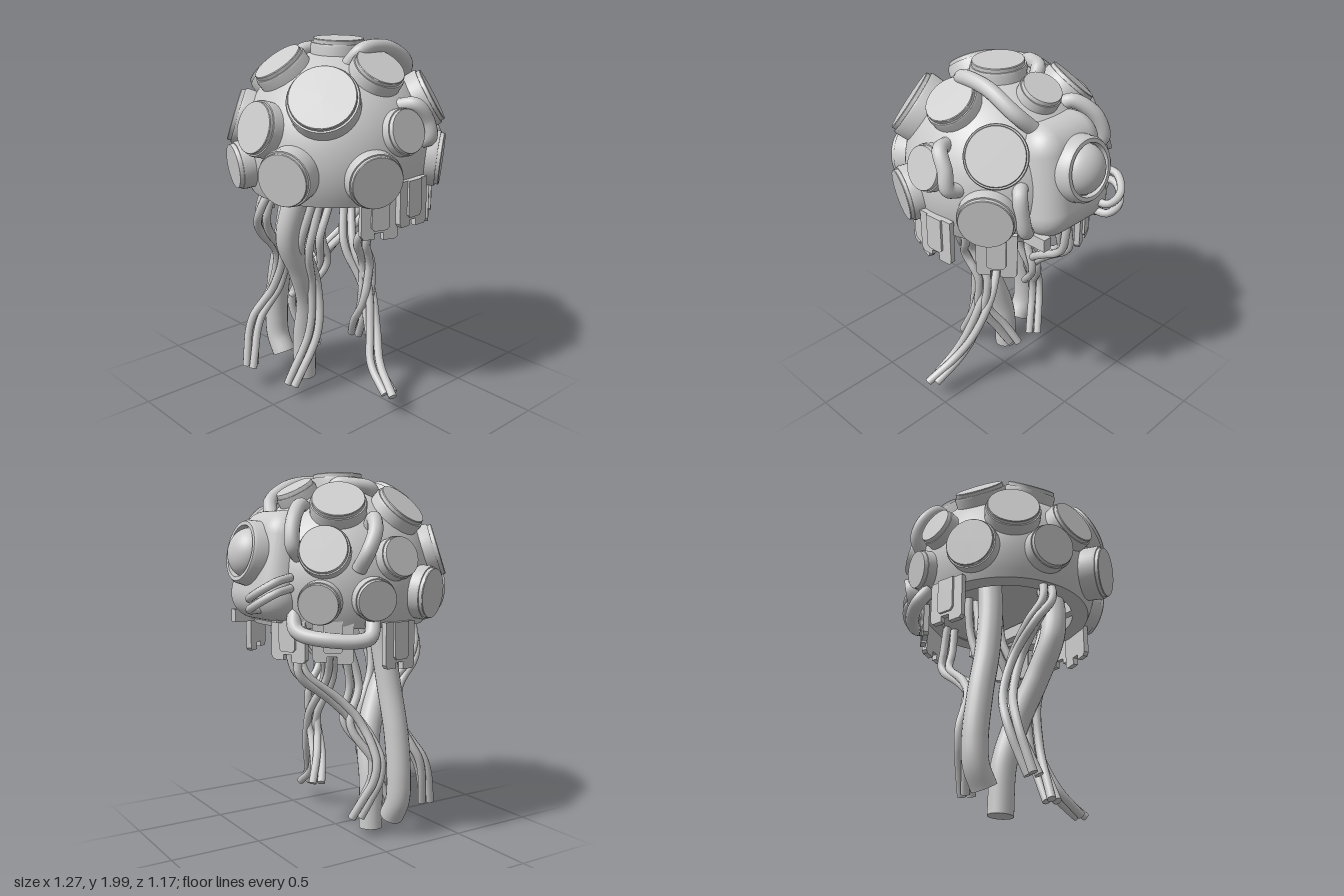
import * as THREE from 'three';
import { toCreasedNormals } from 'three/addons/utils/BufferGeometryUtils.js';
import { RoundedBoxGeometry } from 'three/addons/geometries/RoundedBoxGeometry.js';

const material = new THREE.MeshStandardMaterial({ color: 0xcccccc, side: THREE.DoubleSide });
const V = (p) => new THREE.Vector3(...p);
const UP = new THREE.Vector3(0, 1, 0);
const CENTRE = V([-0.02, 1.42, 0]);
const R = 0.518;

function add(parent, name, geometry) {
  const mesh = new THREE.Mesh(geometry, material);
  mesh.name = name;
  parent.add(mesh);
  return mesh;
}

function lathe(points, segments) {
  const g = new THREE.LatheGeometry(points.map((p) => new THREE.Vector2(...p)), segments);
  return toCreasedNormals(g, 0.6);
}

// Closed round hose whose flat ends are capped
function hose(parent, name, curve, radius, segments = 40, sides = 12) {
  add(parent, name, new THREE.TubeGeometry(curve, segments, radius, sides));
  for (const t of [0, 1]) {
    const cap = add(parent, name + 'End', new THREE.CircleGeometry(radius, sides));
    cap.position.copy(curve.getPoint(t));
    cap.quaternion.setFromUnitVectors(new THREE.Vector3(0, 0, 1), curve.getTangent(t).multiplyScalar(t ? 1 : -1));
  }
}

const spline = (points) => new THREE.CatmullRomCurve3(points.map(V));

// Domed shell with a recessed underside
function buildDome(group) {
  const profile = [[0, 1.28], [0.36, 1.28], [0.38, 1.2], [0.469, 1.2]];
  const start = Math.asin((1.2 - CENTRE.y) / R);
  for (let i = 1; i <= 24; i++) {
    const a = start + (Math.PI / 2 - start) * (i / 24);
    profile.push([Math.max(0, R * Math.cos(a)), CENTRE.y + R * Math.sin(a)]);
  }
  const dome = add(group, 'dome', lathe(profile, 64));
  dome.position.set(CENTRE.x, 0, 0);
}

// Round pods facing outwards: x, y, z of the face, its radius, and its distance from the centre
const PODS = [
  [-0.37, 1.735, 0.29, 0.18, 0.59], [-0.035, 1.87, 0.34, 0.14], [0.3, 1.69, 0.36, 0.155, 0.585],
  [-0.03, 1.57, 0.52, 0.12, 0.565], [-0.22, 1.345, 0.51, 0.145], [0.31, 1.37, 0.44, 0.148],
  [-0.57, 1.36, 0.22, 0.145, 0.61], [-0.55, 1.58, -0.01, 0.142], [-0.33, 1.875, -0.1, 0.145],
  [-0.18, 1.82, -0.36, 0.145], [-0.43, 1.59, -0.34, 0.15], [-0.55, 1.36, -0.18, 0.125, 0.59],
  [-0.27, 1.37, -0.5, 0.14], [-0.04, 1.56, -0.54, 0.11], [0.18, 1.84, -0.31, 0.145],
  [0.33, 1.6, -0.41, 0.13], [-0.025, 1.98, 0.02, 0.143], [0.25, 1.9, 0, 0.11],
  [0.36, 1.33, -0.41, 0.11], [0.1, 1.35, -0.53, 0.11],
];

function buildPods(group) {
  for (const [x, y, z, r, distance = 0.577] of PODS) {
    const direction = V([x, y, z]).sub(CENTRE).normalize();
    const pod = add(group, 'pod', lathe([
      [r, -0.15], [r * 1.02, -0.035], [r * 0.99, -0.022], [r * 0.91, -0.022],
      [r * 0.91, -0.03], [r * 0.94, -0.03], [r * 0.94, -0.004], [r * 0.92, 0], [0, 0],
    ], 40));
    pod.position.copy(CENTRE).addScaledVector(direction, distance);
    pod.quaternion.setFromUnitVectors(UP, direction);
  }
}

// Housing on the side with a ringed lens
function buildEye(group) {
  const eye = new THREE.Group();
  eye.name = 'eye';
  eye.position.set(0.345, 1.5, 0);
  eye.rotation.z = 0.2;
  const body = new RoundedBoxGeometry(0.38, 0.58, 0.53, 8, 0.14);
  const p = body.attributes.position;
  for (let i = 0; i < p.count; i++) {
    // narrower towards the top
    p.setZ(i, p.getZ(i) * (0.92 - p.getY(i) * 0.35));
  }
  body.computeVertexNormals();
  add(eye, 'eyeHousing', toCreasedNormals(body, 0.6));
  const ring = add(eye, 'eyeRing', lathe([[0.175, -0.05], [0.165, 0.035], [0.155, 0.05], [0.135, 0.05], [0.13, 0.02]], 48));
  const lens = add(eye, 'eyeLens', new THREE.SphereGeometry(0.13, 40, 14, 0, Math.PI * 2, 0, Math.PI / 2));
  for (const part of [ring, lens]) {
    part.position.set(0.2, 0.04, 0);
    part.rotation.z = -Math.PI / 2;
  }
  lens.scale.y = 0.8;
  group.add(eye);
  // Long beam under the shell
  add(group, 'underBeam', new THREE.BoxGeometry(0.92, 0.07, 0.05)).position.set(0.06, 1.235, 0.225);
  add(group, 'underBracket', new THREE.BoxGeometry(0.16, 0.05, 0.3)).position.set(0.39, 1.25, -0.03);
}

// Short hoses looping over the shell
const LOOPS = [
  [[-0.11, 1.86, 0.17], [-0.06, 1.95, 0.235], [0.12, 1.95, 0.245], [0.28, 1.86, 0.22], [0.33, 1.76, 0.13]],
  [[0.02, 1.68, 0.42], [0.06, 1.69, 0.5], [0.12, 1.61, 0.525], [0.14, 1.52, 0.53], [0.15, 1.49, 0.45]],
  [[-0.1, 1.85, -0.21], [-0.07, 1.91, -0.235], [0.03, 1.93, -0.2], [0.09, 1.93, -0.15], [0.09, 1.86, -0.12]],
  [[0.05, 1.7, -0.4], [0.06, 1.75, -0.45], [0.1, 1.68, -0.52], [0.15, 1.58, -0.53], [0.16, 1.5, -0.47]],
  [[0.25, 1.77, -0.12], [0.31, 1.82, -0.16], [0.4, 1.75, -0.24], [0.43, 1.62, -0.28], [0.38, 1.56, -0.26]],
  [[0.39, 1.29, -0.22], [0.41, 1.19, -0.28], [0.3, 1.15, -0.42], [0.13, 1.16, -0.52], [0.08, 1.24, -0.48]],
  [[0.36, 1.53, 0.25], [0.41, 1.5, 0.31], [0.43, 1.4, 0.315], [0.43, 1.3, 0.29], [0.39, 1.27, 0.23]],
];

function buildLoops(group) {
  for (const points of LOOPS) hose(group, 'loopHose', spline(points), 0.039, 36, 14);
  for (const drop of [0, 0.055]) {
    hose(group, 'eyeCable', spline([
      [0.5, 1.35 - drop, -0.12], [0.6, 1.35 - drop, -0.14], [0.61, 1.38 - drop, -0.22],
      [0.53, 1.44 - drop, -0.29], [0.43, 1.46 - drop, -0.26],
    ]), 0.021, 30, 10);
  }
}

// Notched hanging plates: x, z of the cluster and its height offset
const SKIRT = [
  [-0.15, 0.46, 0], [0.03, 0.515, 0.05], [0.31, 0.37, 0], [0.4, -0.19, 0],
  [0.25, -0.37, 0], [-0.08, -0.48, -0.04],
];

// Bottom outline of the back plate, then of the shorter panel laid over it
const PLATES = [
  [[-0.105, 1.27], [-0.105, 1.05], [-0.09, 1.03], [-0.03, 1.03], [-0.03, 1.06], [0.02, 1.06], [0.02, 1.02], [0.09, 1.02], [0.105, 1.035], [0.105, 1.27]],
  [[-0.05, 1.27], [-0.05, 1.09], [-0.035, 1.075], [0.035, 1.075], [0.05, 1.09], [0.05, 1.27]],
];

function buildSkirt(group) {
  for (const [x, z, lift] of SKIRT) {
    const cluster = new THREE.Group();
    cluster.name = 'skirtPlates';
    cluster.position.set(x, lift, z);
    cluster.rotation.y = Math.atan2(x, z);
    PLATES.forEach((outline, layer) => {
      const shape = new THREE.Shape(outline.map((q) => new THREE.Vector2(...q)));
      const plate = add(cluster, 'skirtPlate', new THREE.ExtrudeGeometry(shape, { depth: 0.03, bevelEnabled: false }));
      plate.position.z = layer * 0.012 - 0.015;
    });
    group.add(cluster);
  }
}

// Two thick trailing tubes
const TRUNKS = [
  [[-0.3, 1.3, 0.06], [-0.36, 1.12, 0.03], [-0.37, 0.95, 0], [-0.27, 0.74, -0.02], [-0.18, 0.52, -0.07], [-0.15, 0.28, -0.14], [-0.14, 0.015, -0.155]],
  [[-0.12, 1.3, -0.22], [-0.15, 1.1, -0.24], [-0.17, 0.85, -0.28], [-0.18, 0.6, -0.335], [-0.18, 0.35, -0.365], [-0.18, 0.22, -0.355], [-0.18, 0.12, -0.3]],
];

// Thin cable bundles, each a path for three twisted strands
const BUNDLES = [
  [[0.06, 1.28, -0.02], [0.05, 1.08, 0], [0, 0.86, 0.08], [0.04, 0.65, 0.18], [0, 0.4, 0.27], [-0.05, 0.25, 0.35], [-0.09, 0.13, 0.51]],
  [[0.33, 1.26, -0.12], [0.33, 1.05, -0.13], [0.31, 0.94, -0.15], [0.13, 0.8, -0.18], [0, 0.66, -0.23], [-0.06, 0.42, -0.33], [0.02, 0.13, -0.24]],
  [[0.02, 1.25, 0.36], [0.01, 1.08, 0.31], [-0.05, 0.95, 0.24], [0.03, 0.78, 0.2], [0.02, 0.55, 0.19], [0.06, 0.4, 0.1], [0.11, 0.27, 0.03]],
  [[-0.26, 1.28, 0.12], [-0.29, 1.1, 0.1], [-0.3, 0.9, 0.06], [-0.21, 0.65, 0.01], [-0.22, 0.38, 0.02], [-0.35, 0.08, -0.01]],
  [[-0.4, 1.27, -0.08], [-0.45, 1.1, -0.12], [-0.4, 0.98, -0.17], [-0.28, 0.82, -0.18], [-0.28, 0.6, -0.24], [-0.38, 0.4, -0.3], [-0.46, 0.14, -0.25]],
  [[0.08, 1.28, -0.18], [0.05, 1.08, -0.17], [-0.01, 0.85, -0.17], [0.04, 0.66, -0.2], [-0.08, 0.46, -0.3]],
];

function buildTentacles(group) {
  for (const points of TRUNKS) hose(group, 'trunkTube', spline(points), 0.067, 60, 20);
  for (const points of BUNDLES) {
    const path = spline(points);
    for (let s = 0; s < 3; s++) {
      const strand = [];
      for (let i = 0; i <= 16; i++) {
        const a = s * Math.PI * 2 / 3 + i * 0.25;
        strand.push(path.getPoint(i / 16).add(V([Math.cos(a) * 0.029, 0, Math.sin(a) * 0.029])));
      }
      hose(group, 'cableStrand', new THREE.CatmullRomCurve3(strand), 0.023, 64, 10);
    }
  }
}

export function createModel() {
  const group = new THREE.Group();
  group.name = 'podJellyfish';
  buildDome(group);
  buildPods(group);
  buildEye(group);
  buildLoops(group);
  buildSkirt(group);
  buildTentacles(group);
  return group;
}
